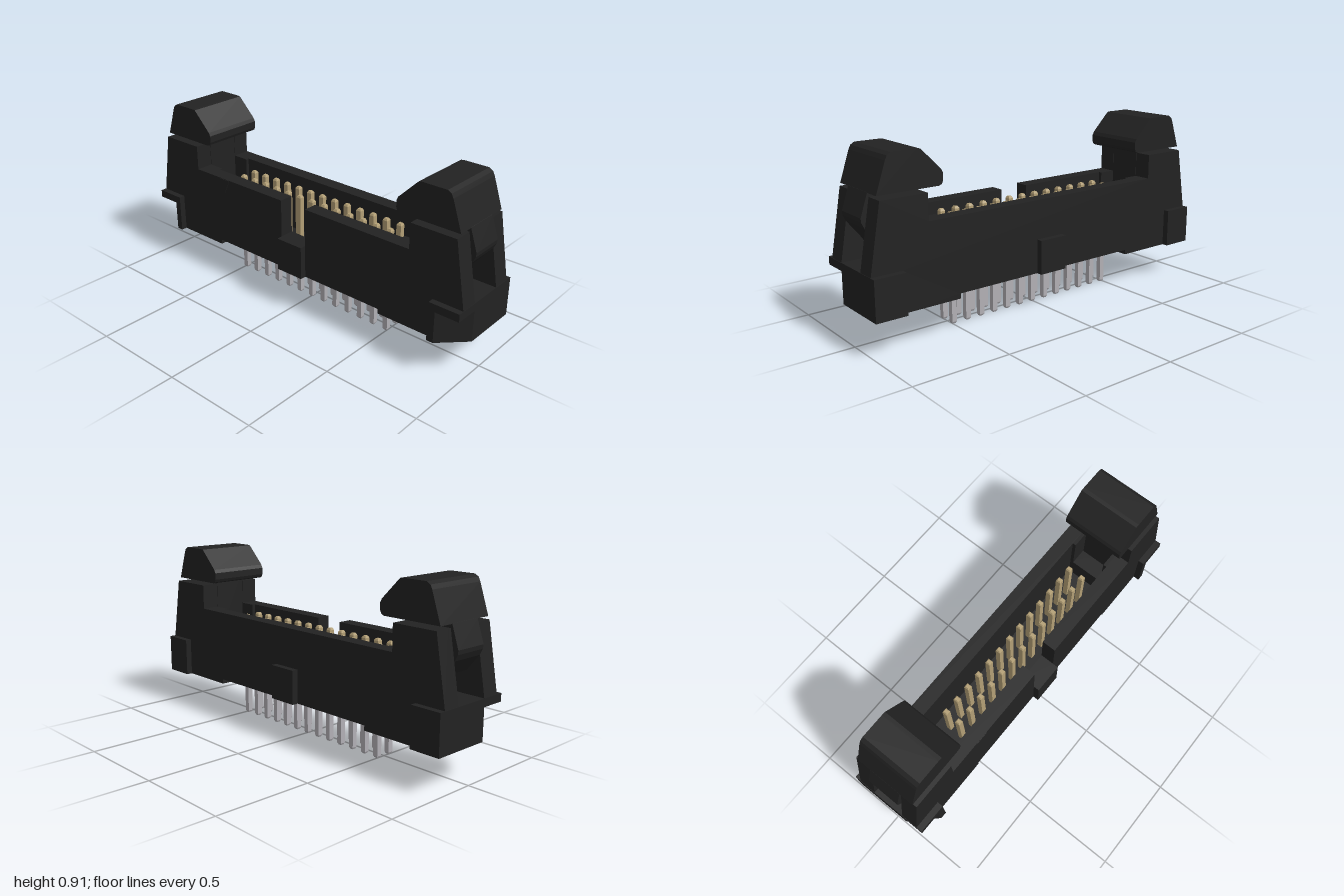
import * as THREE from 'three';

const black = new THREE.MeshStandardMaterial({ color: 0x222222 });
black.name = 'black plastic';
const gold = new THREE.MeshStandardMaterial({ color: 0xb39f75 });
gold.name = 'gold contact';
const silver = new THREE.MeshStandardMaterial({ color: 0xb2b0b5 });
silver.name = 'tinned metal';

const shapeOf = (pts) => new THREE.Shape(pts.map(([x, y]) => new THREE.Vector2(x, y)));

// front profile (x, y) extruded from z0 to z1
function slab(pts, z0, z1) {
  const g = new THREE.ExtrudeGeometry(shapeOf(pts), { depth: z1 - z0, bevelEnabled: false });
  return g.translate(0, 0, z0);
}

// plan outline (x, z) extruded from y0 to y1
function plan(pts, y0, y1) {
  const g = new THREE.ExtrudeGeometry(shapeOf(pts.map(([x, z]) => [x, -z])), { depth: y1 - y0, bevelEnabled: false });
  return g.rotateX(-Math.PI / 2).translate(0, y0, 0);
}

function block(x0, x1, y0, y1, z0, z1) {
  return new THREE.BoxGeometry(x1 - x0, y1 - y0, z1 - z0)
    .translate((x0 + x1) / 2, (y0 + y1) / 2, (z0 + z1) / 2);
}

// square pin with chamfered ends
function pinGeometry(y0, y1) {
  const r = 0.0085, b = 0.005, t = 0.01;
  const g = new THREE.ExtrudeGeometry(shapeOf([[-r, -r], [r, -r], [r, r], [-r, r]]), {
    depth: y1 - y0 - 2 * t, bevelEnabled: true, bevelSize: b, bevelThickness: t, bevelSegments: 1,
  });
  return g.rotateX(-Math.PI / 2).translate(0, y0 + t, 0);
}

const mirrored = (pts, s) => pts.map(([x, y]) => [s * x, y]);

export function createModel() {
  const model = new THREE.Group();
  model.name = 'pinHeader';
  const add = (name, geometry, material = black, parent = model) => {
    const m = new THREE.Mesh(geometry, material);
    m.name = name;
    parent.add(m);
    return m;
  };

  const W = 0.183, C = 0.108, S = 0.09, B = 0.215;

  // long side walls with end towers; the front one has the key slot
  const half = [[0.54, 0.205], [0.54, 0.18], [0.84, 0.18], [0.84, 0.38], [0.998, 0.38], [0.94, 0.71], [0.7, 0.71], [0.7, 0.58]];
  const left = mirrored(half, -1).reverse();
  const slot = [[0.08, 0.58], [0.08, 0.38], [-0.08, 0.38], [-0.08, 0.58]];
  add('frontWall', slab([...half, ...slot, ...left], C, W));
  add('backWall', slab([...half, ...left], -W, -C));

  // cavity floor and central keying bumps
  add('floor', block(-0.61, 0.61, 0.205, 0.26, -C, C));
  add('frontBump', block(-0.08, 0.08, 0.205, 0.38, W, B));
  add('backBump', block(-0.08, 0.08, 0.205, 0.38, -B, -W));

  // pin one mark
  add('pinOneMark', slab([[-0.525, 0.578], [-0.49, 0.505], [-0.455, 0.578]], W, W + 0.003));

  for (const s of [1, -1]) {
    const end = new THREE.Group();
    end.name = s > 0 ? 'leftEnd' : 'rightEnd';
    model.add(end);
    const m = (pts) => mirrored(pts, s);

    // block under the latch and the cheeks beside its slot
    add('latchSeat', slab(m([[0.54, 0.205], [0.54, 0.18], [0.84, 0.18], [0.84, 0.38], [0.61, 0.38], [0.61, 0.205]]), -C, C), black, end);
    const cheek = m([[0.61, 0.38], [0.998, 0.38], [0.94, 0.71], [0.7, 0.71], [0.7, 0.58], [0.61, 0.58]]);
    add('frontCheek', slab(cheek, S, C), black, end);
    add('backCheek', slab(cheek, -C, -S), black, end);

    // wide foot with its lower front corner cut off
    add('footLower', plan(m([[0.84, -B], [1, -B], [1, 0.09], [0.875, B], [0.84, B]]), 0.18, 0.34), black, end);
    add('footUpper', plan(m([[0.84, -B], [1, -B], [1, B], [0.84, B]]), 0.34, 0.38), black, end);

    // latch lever in the slot
    add('latchLever', slab(m([
      [0.7, 0.38], [0.82, 0.38], [0.85, 0.42], [0.9, 0.49], [0.965, 0.57], [0.98, 0.6],
      [0.982, 0.62], [0.945, 0.73], [0.9, 0.76], [0.7, 0.76],
    ]), -0.088, 0.088), black, end);

    // latch hook head
    add('latchHook', slab(m([
      [0.945, 0.728], [0.895, 0.875], [0.885, 0.895], [0.865, 0.907], [0.74, 0.907], [0.72, 0.905],
      [0.617, 0.803], [0.608, 0.785], [0.608, 0.75], [0.615, 0.735], [0.63, 0.728],
    ]), -0.165, 0.165), black, end);
  }

  // two rows of thirteen pins, gold above the floor and tinned below
  const contact = pinGeometry(0.24, 0.56);
  const tail = pinGeometry(0, 0.23);
  for (const z of [-0.04, 0.04]) {
    for (let i = -6; i <= 6; i++) {
      add('contactPin', contact, gold).position.set(i * 0.082, 0, z);
      add('solderTail', tail, silver).position.set(i * 0.082, 0, z);
    }
  }
  return model;
}
